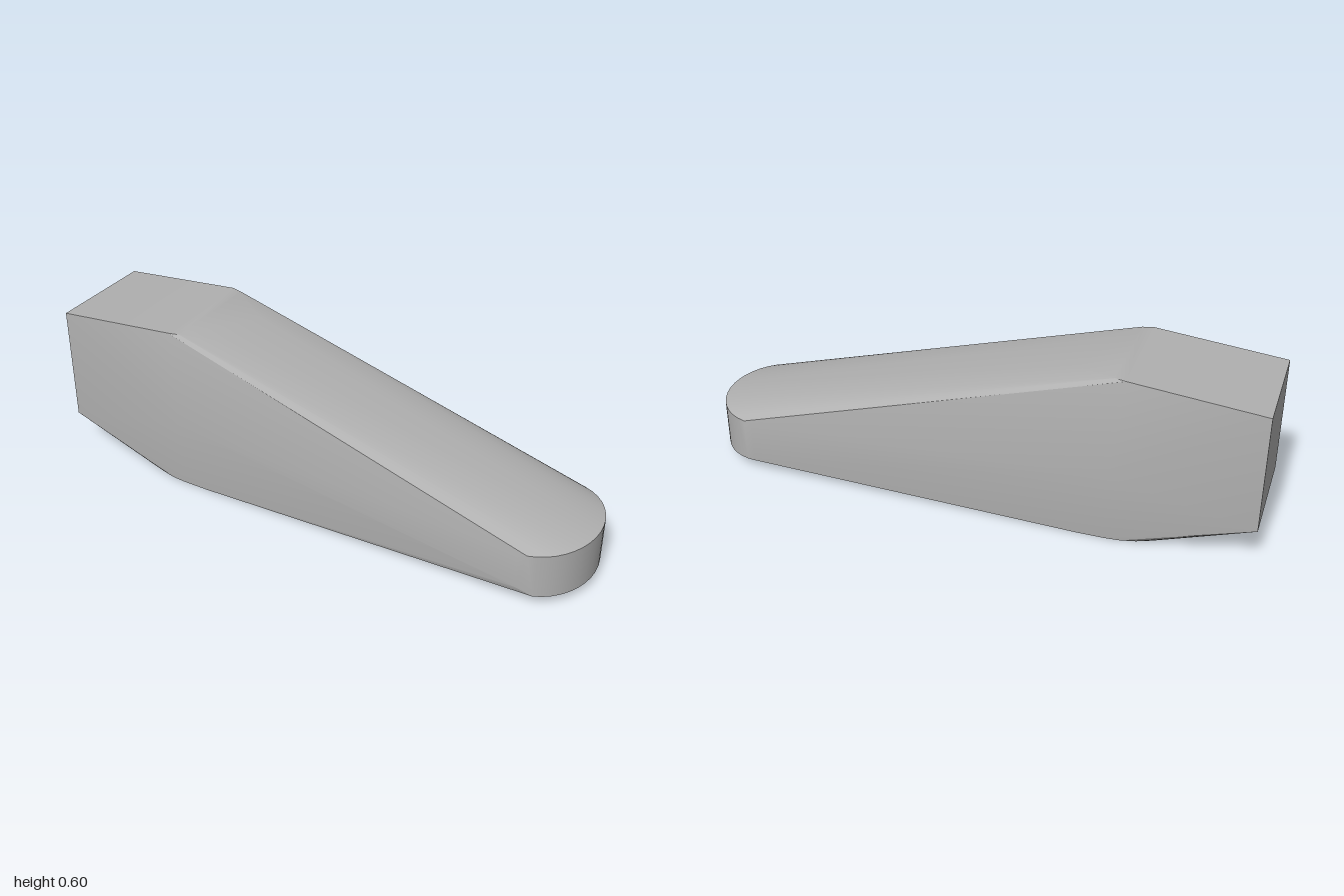
import * as THREE from 'three';
import { ConvexGeometry } from 'three/addons/geometries/ConvexGeometry.js';
import { toCreasedNormals } from 'three/addons/utils/BufferGeometryUtils.js';

const V = (x, y, z) => new THREE.Vector3(x, y, z);

// Half ellipse in plan, bulging towards +x (dir 1) or -x (dir -1)
function arc(cx, rx, rz, dir, steps, height) {
  const points = [];
  for (let i = 0; i <= steps; i++) {
    const a = -Math.PI / 2 + (Math.PI * i) / steps;
    const x = cx + dir * rx * Math.cos(a);
    points.push(V(x, height(x), rz * Math.sin(a)));
  }
  return points;
}

export function createModel() {
  const group = new THREE.Group();
  group.name = 'wedge';
  const grey = new THREE.MeshStandardMaterial({ color: 0xb0b0b0 });
  grey.name = 'plain grey';

  const points = [];

  // Rear plate, top ridge, crown of the slope and widest flank points, mirrored
  for (const s of [-1, 1]) {
    points.push(
      V(-1, 0.13, 0.2 * s), V(-1, 0.555, 0.2 * s),
      V(-0.54, 0.6, 0.2 * s), V(-0.5, 0.6, 0.19 * s),
      V(-0.35, 0.57, 0.1 * s), V(-0.35, 0.562, 0.15 * s),
      V(-0.5, 0.25, 0.228 * s)
    );
  }

  // Rounded nose: upper rim, and lower rim with a small nick at one corner
  points.push(...arc(0.81, 0.19, 0.228, 1, 20, (x) => 0.195 + 0.01 * (x - 0.81) / 0.19));
  points.push(...arc(0.81, 0.19, 0.228, 1, 20, () => 0.037).filter((p) => p.z < 0 || p.x > 0.86));
  points.push(V(0.81, 0.06, 0.228));

  // Rounded heel of the underside
  points.push(...arc(-0.5, 0.28, 0.222, -1, 16, () => 0));
  for (const s of [-1, 1]) points.push(V(-0.4, 0, 0.222 * s));

  const body = new THREE.Mesh(toCreasedNormals(new ConvexGeometry(points), 0.4), grey);
  body.name = 'body';
  group.add(body);
  return group;
}
